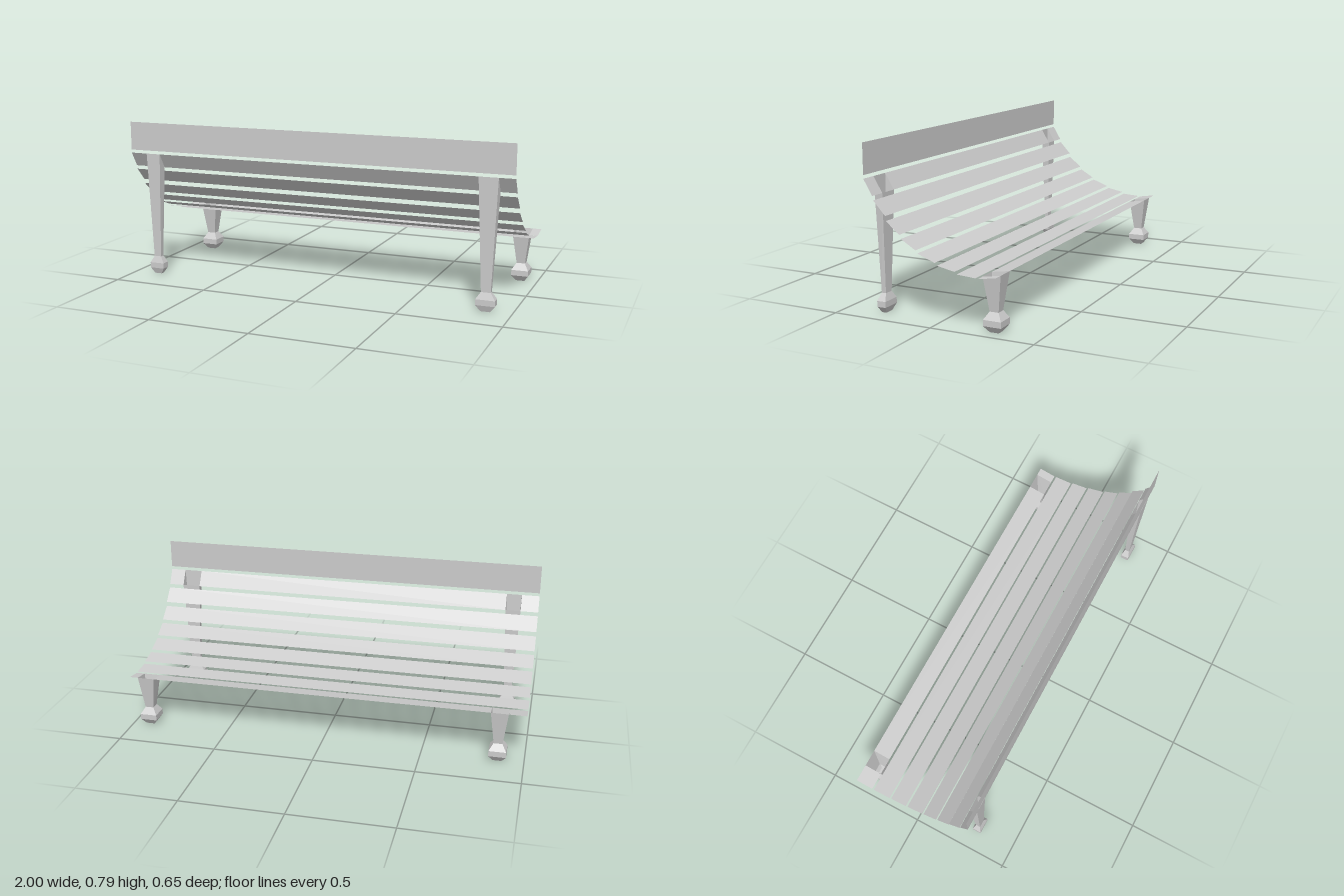
import * as THREE from 'three';

const material = new THREE.MeshStandardMaterial({
  color: 0xcccccc, flatShading: true, side: THREE.DoubleSide,
});

// Flat-shaded mesh from corner points and quads
function quadMesh(name, points, quads) {
  const index = quads.flatMap(([a, b, c, d]) => [a, b, c, a, c, d]);
  const indexed = new THREE.BufferGeometry();
  indexed.setAttribute('position', new THREE.Float32BufferAttribute(points.flat(), 3));
  indexed.setIndex(index);
  const geometry = indexed.toNonIndexed();
  geometry.computeVertexNormals();
  const mesh = new THREE.Mesh(geometry, material);
  mesh.name = name;
  return mesh;
}

// Thin slat across the full width, leaving square openings over the legs
function slat(name, [z0, y0, z1, y1], openings = []) {
  const xs = [-1, ...openings.flat(), 1];
  const points = [], quads = [];
  for (let i = 0; i < xs.length; i += 2) {
    const n = points.length;
    points.push([xs[i], y0, z0], [xs[i], y1, z1], [xs[i + 1], y1, z1], [xs[i + 1], y0, z0]);
    quads.push([n, n + 1, n + 2, n + 3]);
  }
  return quadMesh(name, points, quads);
}

// Hollow tapered leg with a bulbous foot; its open top follows the slat's slope
function leg(name, [x0, x1], [z0, y0, z1, y1]) {
  const cx = (x0 + x1) / 2, cz = (z0 + z1) / 2;
  const hx = (x1 - x0) / 2, hz = (z1 - z0) / 2;
  const rings = [[0, 0.5], [0.03, 1], [0.058, 1], [0.092, 0.5], [null, 1]];
  const corners = [[-1, 1], [1, 1], [1, -1], [-1, -1]];
  const points = [], quads = [[3, 2, 1, 0]];
  rings.forEach(([y, s], r) => {
    for (const [sx, sz] of corners) {
      points.push([cx + sx * hx * s, y ?? (sz < 0 ? y0 : y1), cz + sz * hz * s]);
    }
    if (r === 0) return;
    for (let k = 0; k < 4; k++) {
      const a = (r - 1) * 4 + k, b = (r - 1) * 4 + (k + 1) % 4;
      quads.push([a, b, b + 4, a + 4]);
    }
  });
  return quadMesh(name, points, quads);
}

export function createModel() {
  const model = new THREE.Group();
  model.name = 'bench';

  // Slat cross-sections: z, y at one edge, then z, y at the other
  const edgeSlat = [-0.325, 0.263, -0.238, 0.249];
  const supportSlat = [0.281, 0.56, 0.325, 0.633];
  const curve = [
    [-0.228, 0.251, -0.136, 0.257],
    [-0.126, 0.267, -0.04, 0.284],
    [-0.029, 0.295, 0.057, 0.327],
    [0.066, 0.34, 0.139, 0.383],
    [0.147, 0.4, 0.214, 0.455],
    [0.217, 0.477, 0.277, 0.541],
  ];
  const shortLegs = [[-0.914, -0.829], [0.872, 0.957]];
  const tallLegs = [[-0.911, -0.834], [0.829, 0.922]];

  // Seat and backrest
  const slats = new THREE.Group();
  slats.name = 'slats';
  slats.add(slat('seatEdgeSlat', edgeSlat, shortLegs));
  curve.forEach((section, i) => slats.add(slat(`curvedSlat${i + 1}`, section)));
  slats.add(slat('backSupportSlat', supportSlat, tallLegs));
  slats.add(slat('topBackSlat', [0.325, 0.649, 0.325, 0.793]));
  model.add(slats);

  // Legs
  const sides = ['Right', 'Left'];
  shortLegs.forEach((x, i) => model.add(leg(`short${sides[i]}Leg`, x, edgeSlat)));
  tallLegs.forEach((x, i) => model.add(leg(`tall${sides[i]}Leg`, x, supportSlat)));
  return model;
}
